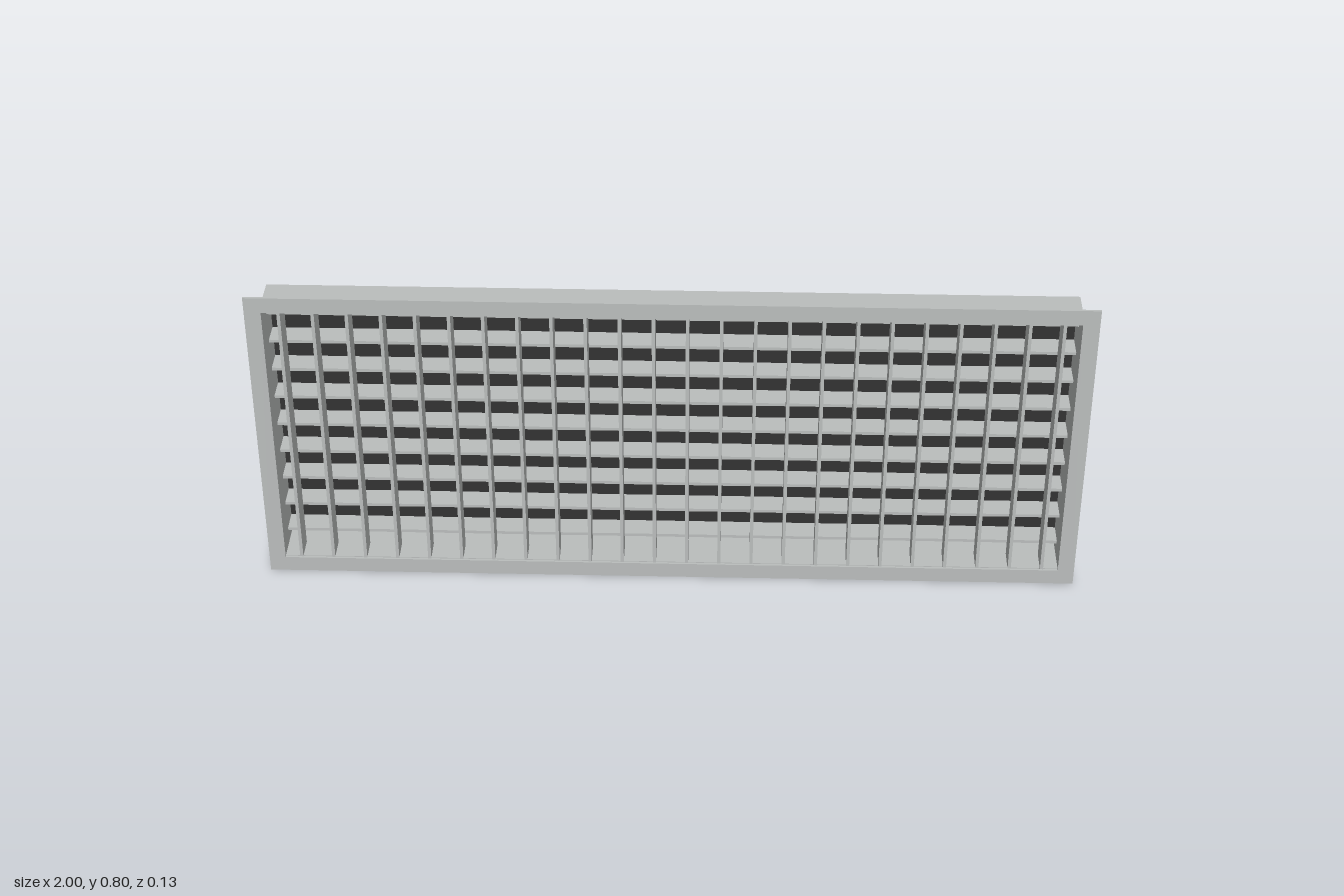
import * as THREE from 'three';

export function createModel() {
  const model = new THREE.Group();
  model.name = 'ventilationGrille';

  const metal = new THREE.MeshStandardMaterial({ color: 0xbbbebd });
  metal.name = 'light grey metal';
  const dark = new THREE.MeshStandardMaterial({ color: 0x333333 });
  dark.name = 'dark backing';

  const midY = 0.4;

  const addBox = (parent, name, material, w, h, d, x, y, z) => {
    const mesh = new THREE.Mesh(new THREE.BoxGeometry(w, h, d), material);
    mesh.name = name;
    mesh.position.set(x, y, z);
    parent.add(mesh);
  };

  // Rectangular ring extruded from zBack to zFront
  const addRing = (name, w, h, holeW, holeH, zBack, zFront) => {
    const trace = (path, a, b) => path
      .moveTo(-a / 2, -b / 2).lineTo(a / 2, -b / 2)
      .lineTo(a / 2, b / 2).lineTo(-a / 2, b / 2).closePath();
    const shape = new THREE.Shape();
    trace(shape, w, h);
    const hole = new THREE.Path();
    trace(hole, holeW, holeH);
    shape.holes.push(hole);
    const geometry = new THREE.ExtrudeGeometry(shape, { depth: zFront - zBack, bevelEnabled: false });
    const mesh = new THREE.Mesh(geometry, metal);
    mesh.name = name;
    mesh.position.set(0, midY, zBack);
    model.add(mesh);
  };

  // Thin front flange and the duct collar behind it
  addRing('frontFlange', 2, 0.8, 1.92, 0.72, 0.057, 0.063);
  addRing('collar', 1.93, 0.726, 1.92, 0.716, -0.059, 0.057);

  // Dark panel closing the back
  addBox(model, 'backPanel', dark, 1.922, 0.718, 0.005, 0, midY, -0.0605);

  // Front row of upright vanes
  const vanes = new THREE.Group();
  vanes.name = 'verticalVanes';
  for (let i = 0; i < 24; i++) {
    addBox(vanes, 'verticalVane', metal, 0.008, 0.718, 0.06, -0.92 + i * 0.08, midY, 0.03);
  }
  model.add(vanes);

  // Rear row of level vanes
  const bars = new THREE.Group();
  bars.name = 'horizontalVanes';
  for (let i = 1; i <= 9; i++) {
    addBox(bars, 'horizontalVane', metal, 1.922, 0.008, 0.056, 0, i * 0.08, -0.029);
  }
  model.add(bars);

  return model;
}
